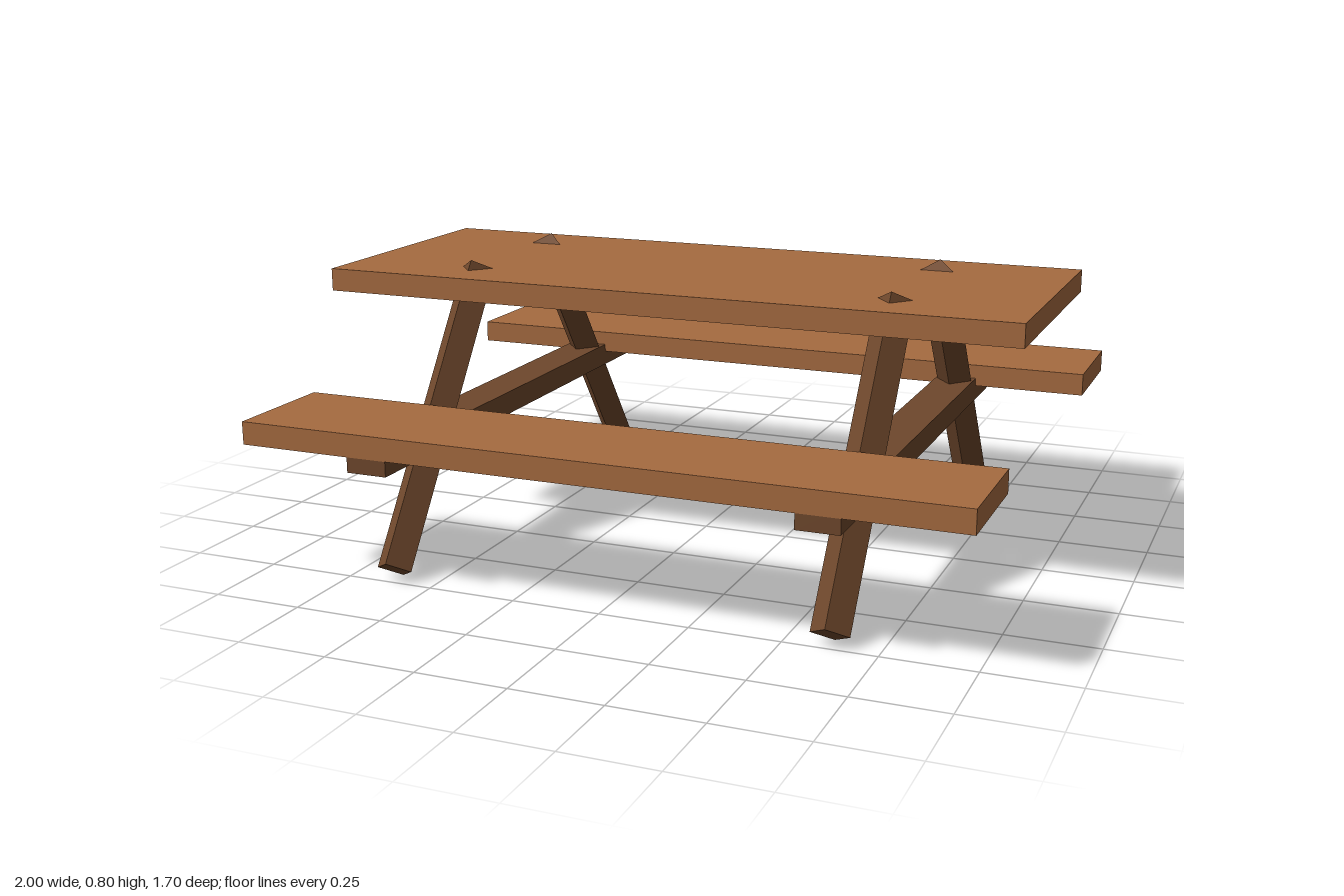
import * as THREE from 'three';

export function createModel() {
  const model = new THREE.Group();
  model.name = 'picnicTable';

  const plankWood = new THREE.MeshStandardMaterial({ color: 0xa66b40 });
  plankWood.name = 'plank wood';
  const frameWood = new THREE.MeshStandardMaterial({ color: 0x6f482c });
  frameWood.name = 'frame wood';

  const add = (name, geometry, material, x, y, z) => {
    const mesh = new THREE.Mesh(geometry, material);
    mesh.name = name;
    mesh.position.set(x, y, z);
    model.add(mesh);
    return mesh;
  };

  // Table top
  add('tableTop', new THREE.BoxGeometry(2, 0.064, 0.778), plankWood, 0, 0.743, 0);

  // Benches along the front and back
  const benchGeometry = new THREE.BoxGeometry(2, 0.064, 0.337);
  for (const side of [1, -1]) {
    add(side > 0 ? 'frontBench' : 'backBench', benchGeometry, plankWood, 0, 0.406, side * 0.679);
  }

  // Diamond-section legs, corners pointing to the front, back and sides
  const legGeometry = new THREE.CylinderGeometry(0.0525, 0.0525, 0.906, 4).toNonIndexed();
  legGeometry.computeVertexNormals();
  const beamGeometry = new THREE.BoxGeometry(0.116, 0.066, 1.69);
  const tilt = THREE.MathUtils.degToRad(35);

  // Two end frames: a cross beam and a pair of splayed legs each
  for (const end of [1, -1]) {
    const prefix = end > 0 ? 'left' : 'right';
    add(prefix + 'CrossBeam', beamGeometry, frameWood, end * 0.62, 0.364, 0);
    for (const side of [1, -1]) {
      const name = prefix + (side > 0 ? 'FrontLeg' : 'BackLeg');
      add(name, legGeometry, frameWood, end * 0.62, 0.401, side * 0.472).rotation.x = -side * tilt;
    }
  }
  return model;
}
